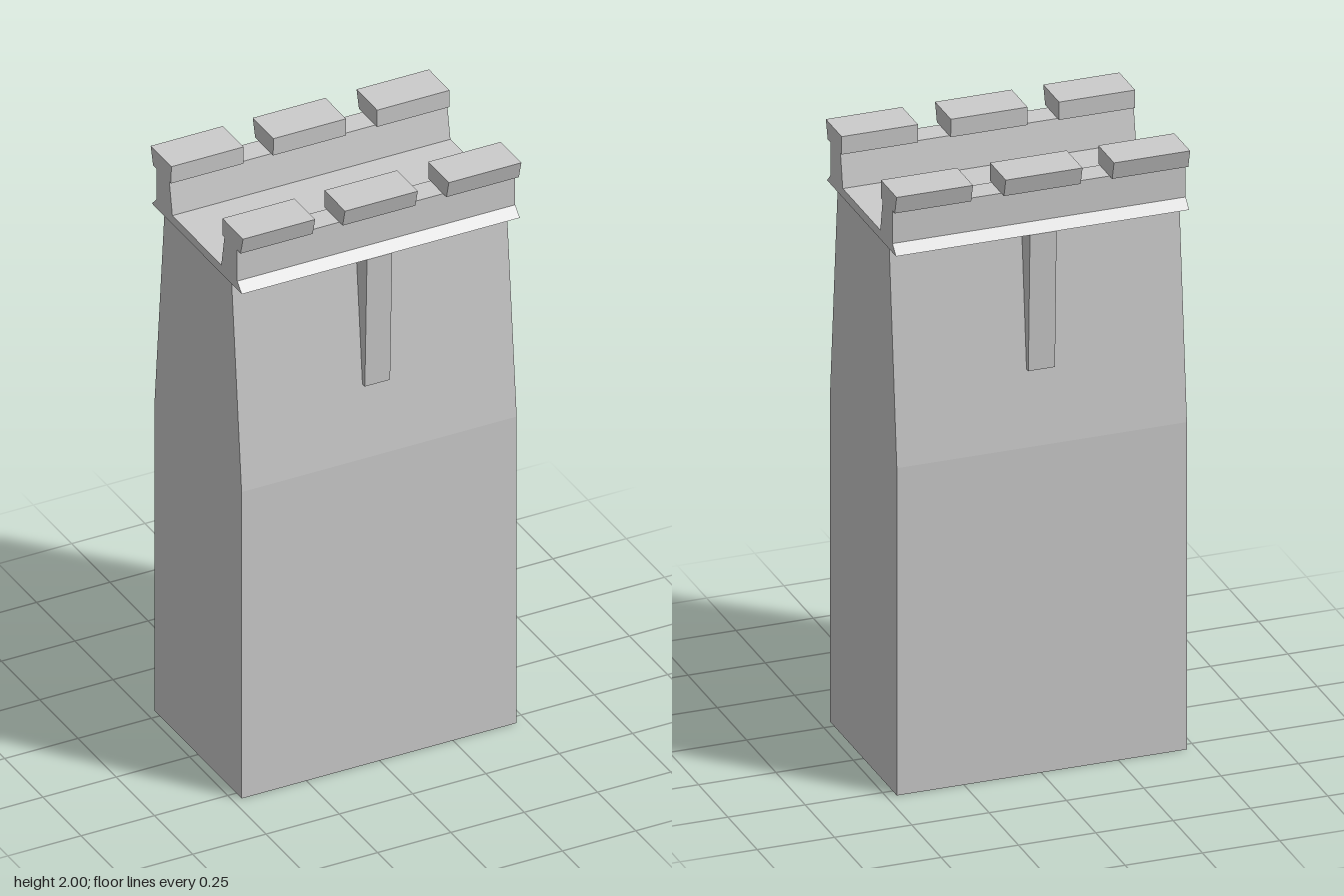
import * as THREE from 'three';

const material = new THREE.MeshStandardMaterial({ color: 0xcccccc, flatShading: true, side: THREE.DoubleSide });

// Extrudes a [z, y] profile along x between x0 and x1.
function prism(name, profile, x0, x1) {
  const shape = new THREE.Shape(profile.map(([z, y]) => new THREE.Vector2(z, y)));
  const geometry = new THREE.ExtrudeGeometry(shape, { depth: x1 - x0, bevelEnabled: false });
  geometry.rotateY(-Math.PI / 2).translate(x1, 0, 0);
  const mesh = new THREE.Mesh(geometry, material);
  mesh.name = name;
  return mesh;
}

const flip = (profile, side) => profile.map(([z, y]) => [z * side, y]);

export function createModel() {
  const group = new THREE.Group();
  group.name = 'battlementWall';

  // Hollow wall body, open below, with front and back leaning in at the top
  const levels = [[0, 0.285], [1.09, 0.285], [1.8, 0.22]];
  const body = new THREE.CylinderGeometry(1, 1, 2, 4, 2, true, Math.PI / 4);
  const pos = body.attributes.position;
  for (let i = 0; i < pos.count; i++) {
    const [y, halfDepth] = levels[Math.round(pos.getY(i)) + 1];
    pos.setXYZ(i, Math.sign(pos.getX(i)) * 0.469 - 0.002, y, Math.sign(pos.getZ(i)) * halfDepth);
  }
  body.computeVertexNormals();
  const wall = new THREE.Mesh(body, material);
  wall.name = 'wallBody';
  group.add(wall);

  // Walkway with a parapet and a sloped ledge on each long side
  const half = [[0.16, 1.83], [0.18, 1.94], [0.264, 1.94], [0.264, 1.83], [0.294, 1.8]];
  const channel = [...half, ...flip(half, -1).reverse()];
  group.add(prism('walkwayAndParapets', channel, -0.475, 0.473));

  // Flared merlons and one wedge-shaped buttress on each side
  const merlon = [[0.168, 1.94], [0.286, 1.94], [0.302, 2], [0.167, 2]];
  const buttress = [[0.255, 1.34], [0.278, 1.34], [0.292, 1.8], [0.215, 1.8]];
  const spans = [[-0.475, -0.229], [-0.127, 0.121], [0.227, 0.474]];
  for (const side of [1, -1]) {
    for (const [x0, x1] of spans) group.add(prism('merlon', flip(merlon, side), x0, x1));
    group.add(prism('buttress', flip(buttress, side), -0.047, 0.039));
  }
  return group;
}
